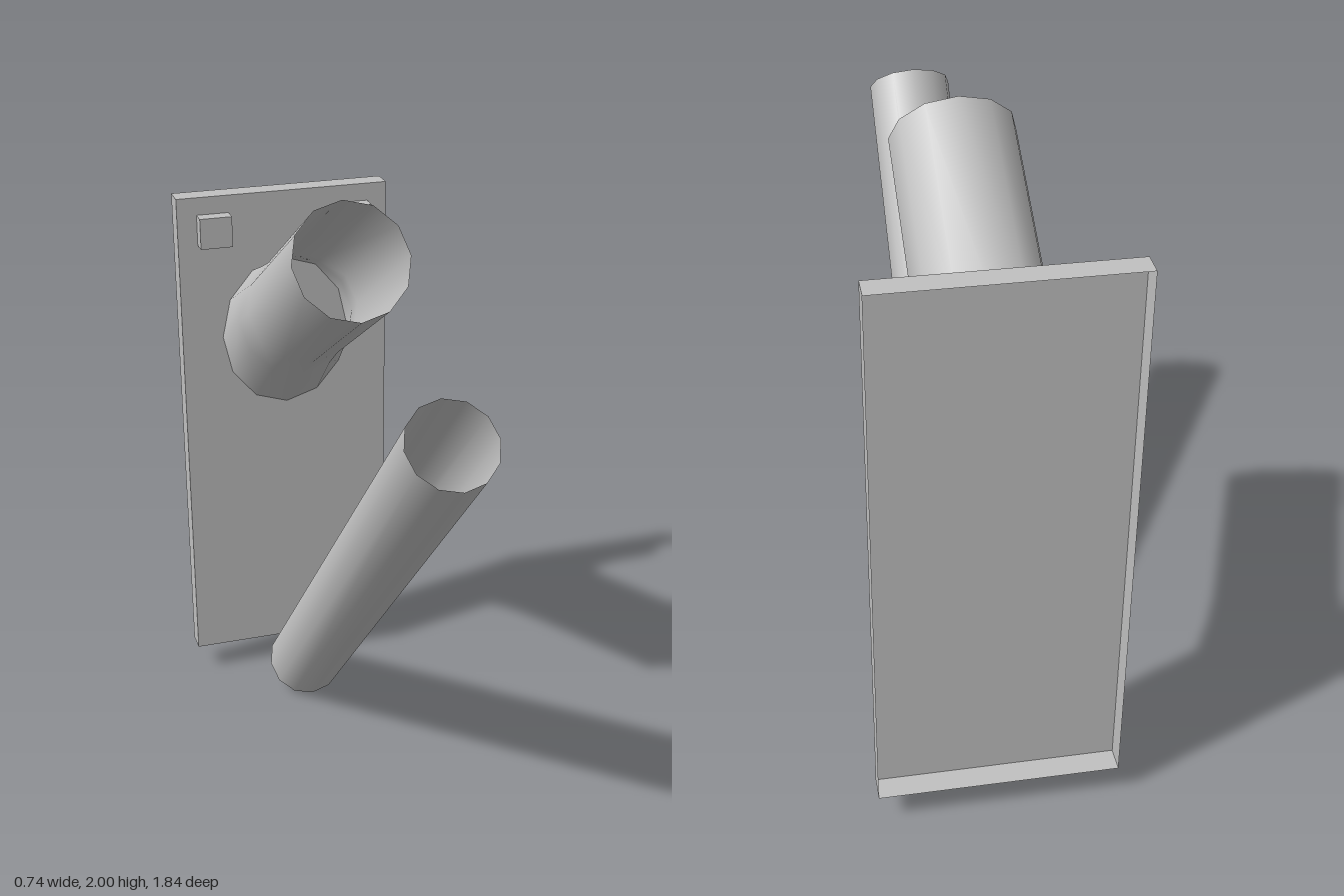
import * as THREE from 'three';

const SIDES = 12;

// Open smooth tube through oval rings: [topZ, topY, bottomZ, bottomY, halfWidth], front to back
function tube(rings) {
  const pos = [], index = [];
  rings.forEach(([tz, ty, bz, by, w], i) => {
    for (let j = 0; j < SIDES; j++) {
      const a = (j / SIDES) * Math.PI * 2, c = Math.cos(a) / 2;
      pos.push(w * Math.sin(a), (ty + by) / 2 + (ty - by) * c, (tz + bz) / 2 + (tz - bz) * c);
      if (i === rings.length - 1) continue;
      const A = i * SIDES + j, B = i * SIDES + (j + 1) % SIDES;
      index.push(A, B, A + SIDES, B, B + SIDES, A + SIDES);
    }
  });
  const g = new THREE.BufferGeometry();
  g.setAttribute('position', new THREE.Float32BufferAttribute(pos, 3));
  g.setIndex(index);
  g.computeVertexNormals();
  return g;
}

export function createModel() {
  const group = new THREE.Group();
  const grey = new THREE.MeshStandardMaterial({ color: 0xc0c0c0, side: THREE.DoubleSide });
  grey.name = 'light grey';

  const add = (name, geometry, x = 0, y = 0, z = 0) => {
    const mesh = new THREE.Mesh(geometry, grey);
    mesh.name = name;
    mesh.position.set(x, y, z);
    group.add(mesh);
  };

  // Wall plate: a shallow tray, open at the back (last box face dropped)
  const plate = new THREE.BoxGeometry(0.735, 1.74, 0.075);
  plate.setIndex(Array.from(plate.index.array).slice(0, 30));
  plate.clearGroups();
  add('wallPlate', plate, 0, 0.97, -0.8825);

  // Small blocks near the top corners of the plate
  for (const side of [1, -1]) {
    add(side > 0 ? 'leftBlock' : 'rightBlock', new THREE.BoxGeometry(0.11, 0.105, 0.05), side * 0.245, 1.7275, -0.82);
  }

  // Sloping socket that flares where it meets the plate
  add('socket', tube([
    [-0.15, 2.0, 0.045, 1.68, 0.187],
    [-0.71, 1.662, -0.51, 1.342, 0.19],
    [-0.775, 1.632, -0.63, 1.257, 0.2],
    [-0.845, 1.605, -0.845, 1.07, 0.225],
  ]));

  // Loose straight pole
  add('pole', tube([
    [0.73, 1.715, 0.92, 1.53, 0.133],
    [-0.75, 0.19, -0.56, 0.0, 0.133],
  ]));

  return group;
}
